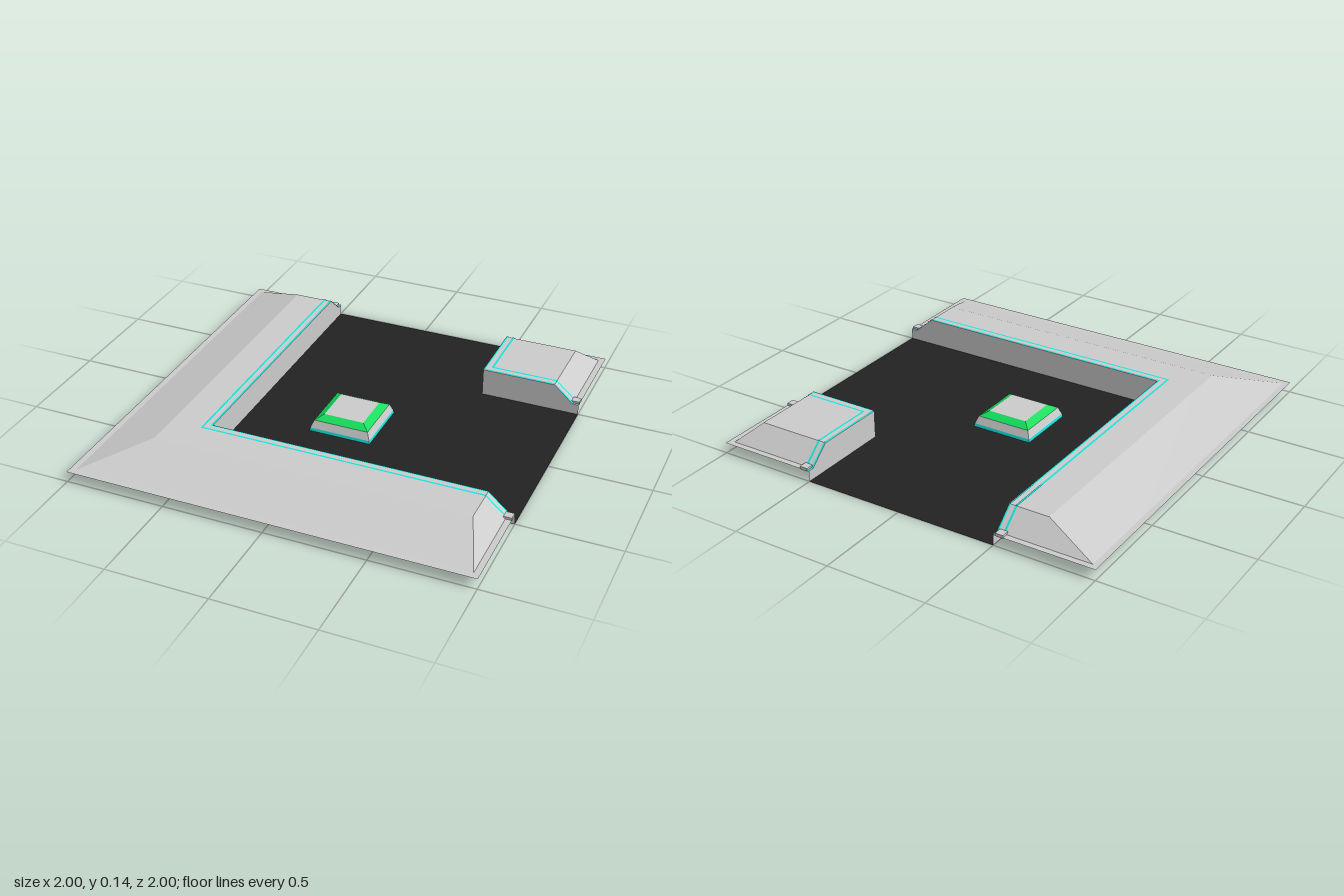
import * as THREE from 'three';

const TOP = 0.14, LIP = 0.053;

const mat = (color) => new THREE.MeshStandardMaterial({ color, flatShading: true, side: THREE.DoubleSide });

// Height of the embankment: a flat top with ramps down to a thin lip
function height(x, z) {
  const t = Math.min((x + 0.97) / 0.27, (0.97 - x) / 0.1, (z + 0.97) / 0.1, (0.97 - z) / 0.27);
  return LIP + (TOP - LIP) * Math.min(1, Math.max(0, t));
}

// Mesh from a list of quads, each with four [x, y, z] corners, split along corners 0-2
function quadMesh(name, quads, material) {
  const pos = quads.flatMap(([a, b, c, d]) => [a, b, c, a, c, d].flat());
  const geo = new THREE.BufferGeometry();
  geo.setAttribute('position', new THREE.Float32BufferAttribute(pos, 3));
  geo.computeVertexNormals();
  const mesh = new THREE.Mesh(geo, material);
  mesh.name = name;
  return mesh;
}

// Path parallel to the road edge: side -1 is the outer bend, +1 the inner corner block
function edgePath(side, offset) {
  const c = side * (0.5 + offset);
  return [[c, -1], [c, -0.97], [c, -0.87], [c, -c], [0.87, -c], [0.97, -c], [1, -c]];
}

export function createModel() {
  const model = new THREE.Group();
  const grey = mat(0xcccccc), black = mat(0x222222), cyan = mat(0x12e4dc), green = mat(0x12dc5c);

  // Road floor with an opening under the pad
  const shape = new THREE.Shape([[-0.5, -0.5], [1, -0.5], [1, 0.5], [0.5, 0.5], [0.5, 1], [-0.5, 1]]
    .map(([x, y]) => new THREE.Vector2(x, y)));
  shape.holes.push(new THREE.Path([[-0.155, -0.155], [-0.155, 0.155], [0.155, 0.155], [0.155, -0.155]]
    .map(([x, y]) => new THREE.Vector2(x, y))));
  const floor = new THREE.Mesh(new THREE.ShapeGeometry(shape).rotateX(-Math.PI / 2), black);
  floor.name = 'roadFloor';
  model.add(floor);

  // Embankment shell: grid cells outside the road
  const xs = [-1, -0.97, -0.7, -0.5, 0.5, 0.87, 0.97, 1];
  const zs = xs.map((x) => -x).reverse();
  const shell = [];
  for (let i = 0; i < 7; i++) {
    for (let j = 0; j < 7; j++) {
      const [x0, x1, z0, z1] = [xs[i], xs[i + 1], zs[j], zs[j + 1]];
      const mx = (x0 + x1) / 2, mz = (z0 + z1) / 2;
      const isBlock = mx > 0.5 && mz < -0.5;
      if (mx > -0.5 && mz < 0.5 && !isBlock) continue;
      const q = [[x0, z0], [x0, z1], [x1, z1], [x1, z0]].map(([x, z]) => [x, height(x, z), z]);
      // Turn the split so that it follows the hip lines
      if (mx * mz < 0) q.push(q.shift());
      shell.push(q);
    }
  }
  model.add(quadMesh('embankment', shell, grey));

  for (const side of [-1, 1]) {
    const label = side < 0 ? 'outer' : 'inner';

    // Wall between the road and the embankment
    const path = edgePath(side, 0);
    const wall = path.slice(1).map(([x, z], i) => {
      const [px, pz] = path[i];
      const q = [[px, 0, pz], [x, 0, z], [x, height(x, z), z], [px, height(px, pz), pz]];
      return side < 0 ? q : q.reverse();
    });
    model.add(quadMesh(label + 'Wall', wall, grey));

    // Two light strips along the wall top
    for (const [near, far] of [[0, 0.008], [0.032, 0.042]]) {
      const a = edgePath(side, near), b = edgePath(side, far);
      const lift = ([x, z]) => [x, height(x, z) + 0.003, z];
      const strip = a.slice(1).map((p, i) => {
        const q = [a[i], p, b[i + 1], b[i]].map(lift);
        return side < 0 ? q.reverse() : q;
      });
      model.add(quadMesh(label + 'LightStrip', strip, cyan));
    }

    // Small end caps where the strips meet the tile border
    for (const [x, z] of [[side * 0.53, -0.98], [0.98, -side * 0.53]]) {
      const cap = new THREE.Mesh(new THREE.BoxGeometry(0.04, 0.015, 0.04), grey);
      cap.position.set(x, 0.0575, z);
      cap.name = label + 'EndCap';
      model.add(cap);
    }
  }

  // Raised square pad in stacked open tiers
  const pad = new THREE.Group();
  pad.name = 'pad';
  const tiers = [
    ['padLightBand', 0.158, 0, 0.155, 0.015, cyan],
    ['padSide', 0.155, 0.015, 0.14, 0.053, grey],
    ['padBevel', 0.14, 0.053, 0.102, 0.075, green],
  ];
  for (const [name, r0, y0, r1, y1, material] of tiers) {
    const geo = new THREE.CylinderGeometry(r1 * Math.SQRT2, r0 * Math.SQRT2, y1 - y0, 4, 1, true);
    geo.rotateY(Math.PI / 4).translate(0, (y0 + y1) / 2, 0);
    const tier = new THREE.Mesh(geo, material);
    tier.name = name;
    pad.add(tier);
  }
  const padTop = new THREE.Mesh(new THREE.PlaneGeometry(0.204, 0.204).rotateX(-Math.PI / 2), grey);
  padTop.position.y = 0.075;
  padTop.name = 'padTop';
  pad.add(padTop);
  model.add(pad);

  return model;
}
